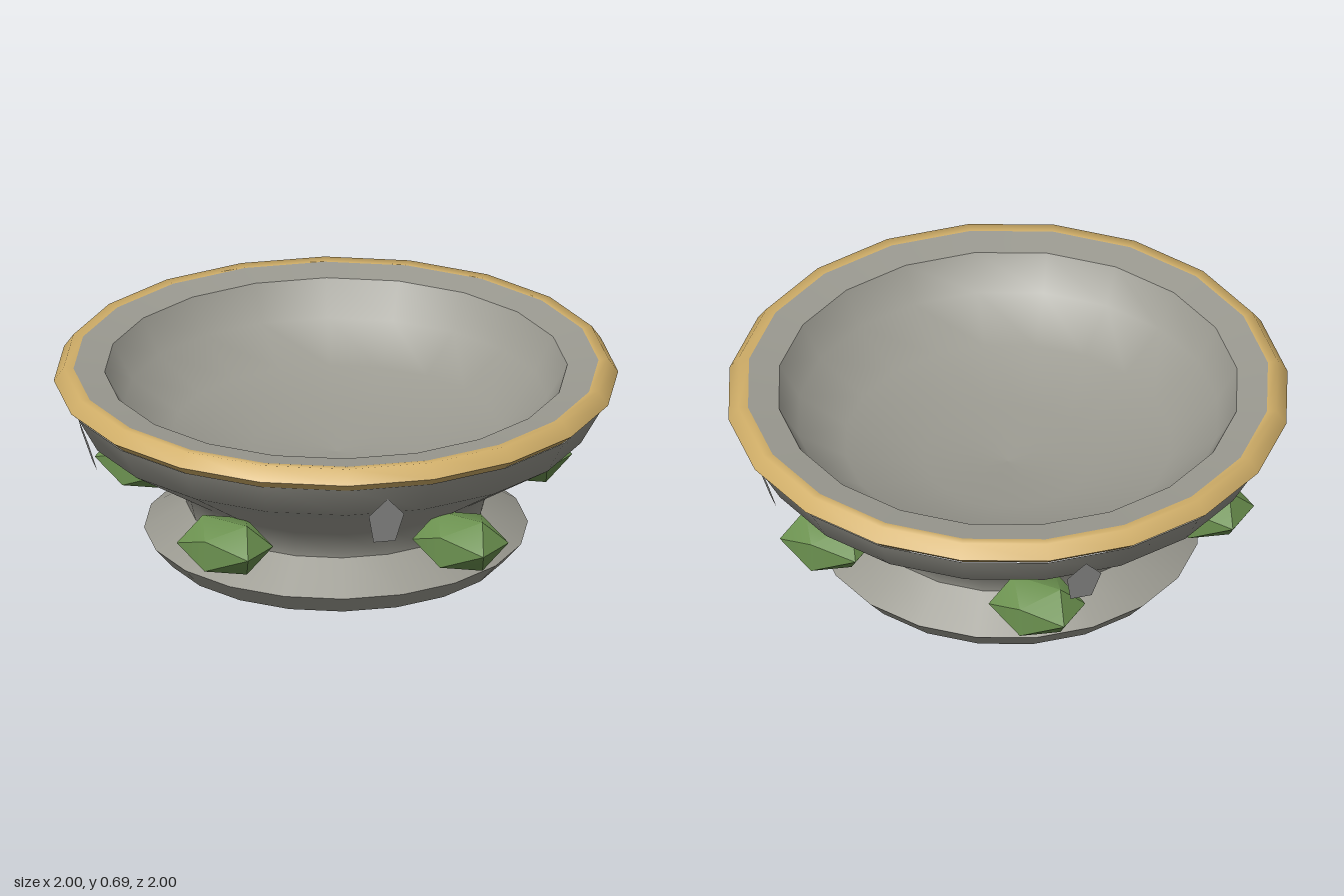
import * as THREE from 'three';
import { toCreasedNormals } from 'three/addons/utils/BufferGeometryUtils.js';

const SIDES = 20;

function flatColor(name, color, doubleSided = false) {
  const m = new THREE.MeshStandardMaterial({ color });
  m.name = name;
  if (doubleSided) m.side = THREE.DoubleSide;
  return m;
}

export function createModel() {
  const stone = flatColor('stone', 0x9b9a91, true);
  const gold = flatColor('gold', 0xd0ae68, true);
  const green = flatColor('green gem', 0x6c9250);
  const silver = flatColor('silver', 0x9c9c9a, true);

  const model = new THREE.Group();
  model.name = 'bowl';

  function add(parent, name, geometry, material) {
    const mesh = new THREE.Mesh(geometry, material);
    mesh.name = name;
    parent.add(mesh);
    return mesh;
  }

  // One smooth ring surface; separate strips keep the edges between them sharp
  function ring(name, profile, material) {
    const points = profile.map(([r, y]) => new THREE.Vector2(r, y));
    return add(model, name, new THREE.LatheGeometry(points, SIDES), material);
  }

  // Hollow foot and outer wall
  ring('footEdge', [[0.615, 0], [0.68, 0.075]], stone);
  ring('footSlope', [[0.68, 0.075], [0.53, 0.17]], stone);
  ring('outerWall', [[0.53, 0.17], [0.555, 0.27], [0.9, 0.49], [0.97, 0.615]], stone);

  // Gold band around the mouth
  ring('bandUnderside', [[0.96, 0.61], [1, 0.645]], gold);
  ring('bandTop', [[1, 0.645], [0.965, 0.695], [0.93, 0.69]], gold);

  // Lip and basin
  ring('lip', [[0.93, 0.69], [0.82, 0.675]], stone);
  ring('basin', [[0.82, 0.675], [0.75, 0.55], [0.58, 0.44], [0.3, 0.375], [0, 0.355]], stone);

  // Five faceted gems around the neck, all facing the same way
  const gemShape = toCreasedNormals(
    new THREE.IcosahedronGeometry(1, 0).scale(0.178, 0.109, 0.153), 0.7);
  for (let i = 0; i < 5; i++) {
    const a = (i / 5) * Math.PI * 2;
    const gem = add(model, 'gem', gemShape, green);
    gem.position.set(Math.sin(a) * 0.71, 0.247, Math.cos(a) * 0.71);
  }

  // Four pointed plates on the diagonals, leaning outward at the top
  const plateShape = new THREE.CircleGeometry(1, 5, Math.PI / 2).scale(0.067, 0.11, 1);
  for (let i = 0; i < 4; i++) {
    const a = (i + 0.5) * Math.PI / 2;
    const plate = add(model, 'pointedPlate', plateShape, silver);
    plate.position.set(Math.sin(a) * 0.897, 0.455, Math.cos(a) * 0.897);
    plate.rotation.set(0.31, a, 0, 'YXZ');
  }

  return model;
}
